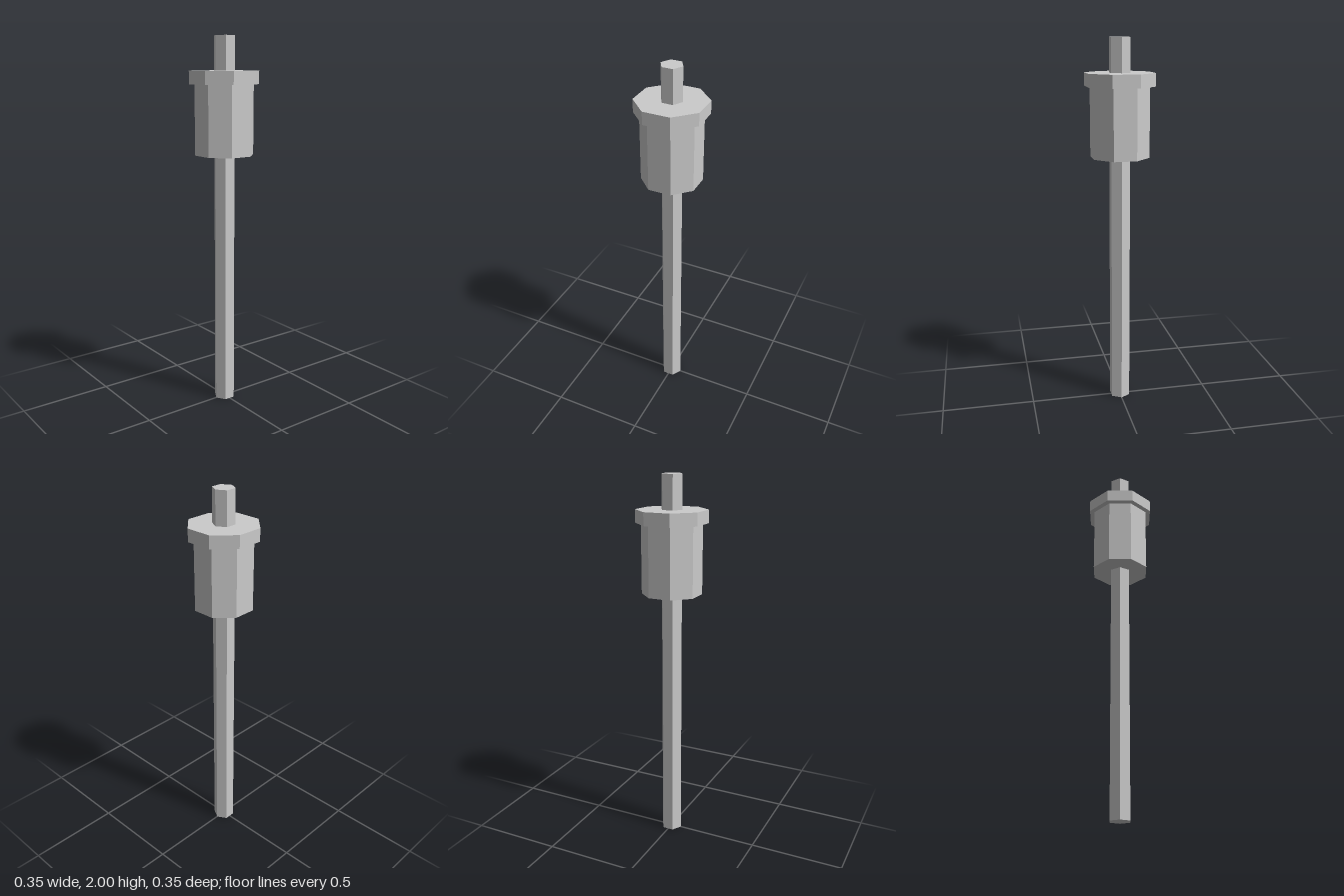
import * as THREE from 'three';

const material = new THREE.MeshStandardMaterial({ color: 0xcccccc, flatShading: true });

// Upright prism between two heights
function prism(name, radius, sides, bottom, top, turn = 0) {
  const geometry = new THREE.CylinderGeometry(radius, radius, top - bottom, sides, 1);
  geometry.rotateY(turn);
  const mesh = new THREE.Mesh(geometry, material);
  mesh.name = name;
  mesh.position.y = (bottom + top) / 2;
  return mesh;
}

export function createModel() {
  const model = new THREE.Group();
  model.name = 'hammer';
  const flat = Math.PI / 8; // turns a flat side of the octagons to the front

  model.add(
    prism('shaft', 0.058, 6, 0, 2), // hexagonal rod, a corner to the front
    prism('head', 0.159, 8, 1.387, 1.755, flat),
    prism('collar', 0.188, 8, 1.755, 1.823, flat),
  );
  return model;
}
